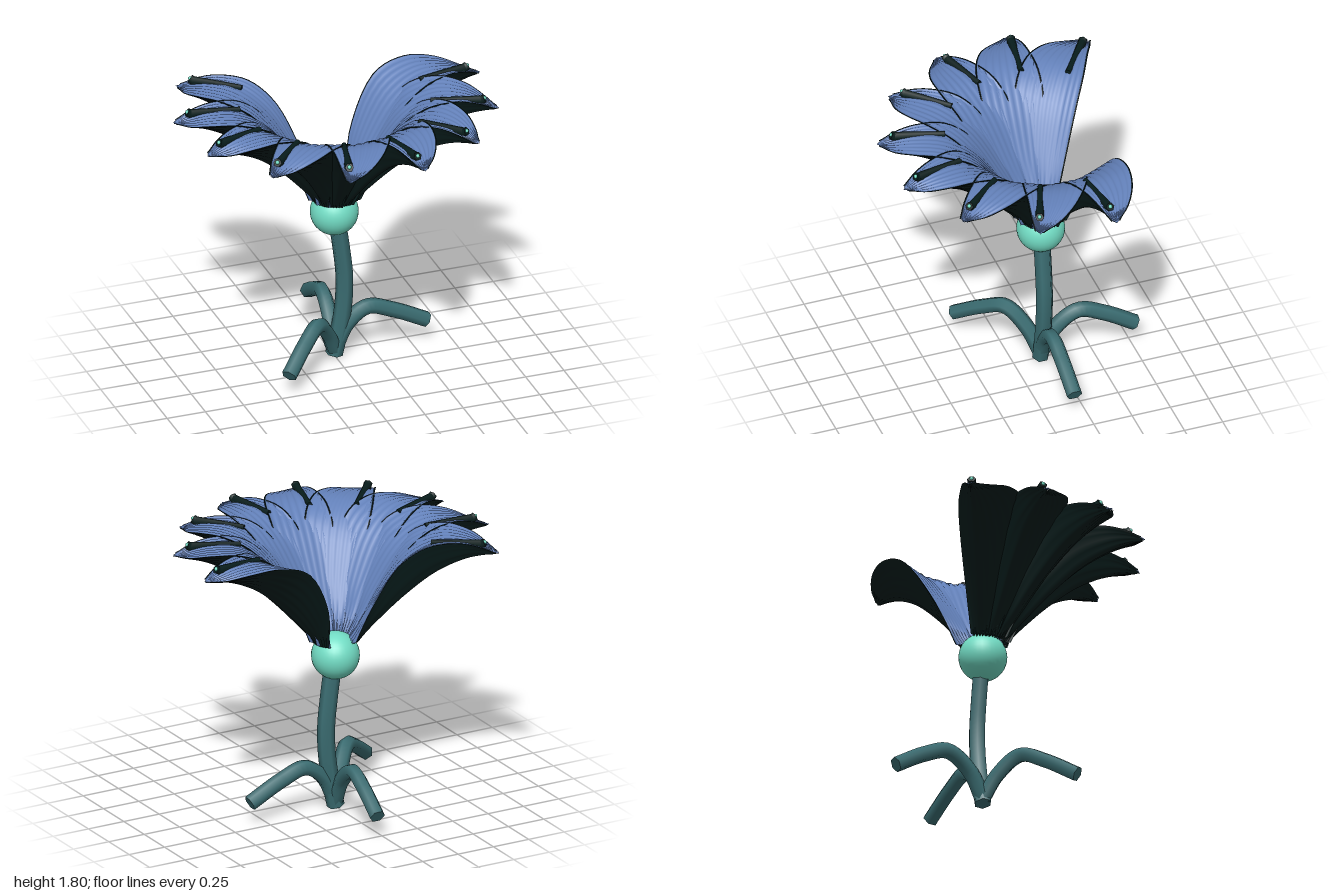
import * as THREE from 'three';

const mat = (name, color) => {
  const m = new THREE.MeshStandardMaterial({ color });
  m.name = name;
  return m;
};
const V = (p) => new THREE.Vector3(...p);
const curve = (pts) => new THREE.CatmullRomCurve3(pts.map(V));

// Petal guide lines, as [outward, height, sideways]
const KEEL = curve([[0.13, 1.09, 0], [0.26, 1.235, 0], [0.43, 1.41, 0], [0.62, 1.57, 0], [0.8, 1.665, 0], [0.92, 1.7, 0], [1.0, 1.71, 0]]);
const CREST = curve([[0.085, 1.115, 0], [0.25, 1.395, 0], [0.43, 1.645, 0], [0.61, 1.762, 0], [0.79, 1.776, 0], [0.92, 1.745, 0], [1.0, 1.714, 0]]);
const WIDE = curve([[0.12, 1.1, -0.1], [0.23, 1.43, -0.215], [0.43, 1.72, -0.28], [0.63, 1.79, -0.27], [0.8, 1.775, -0.21], [0.92, 1.735, -0.115], [0.985, 1.715, -0.02]]);
const NARROW = curve([[0.12, 1.1, 0.055], [0.25, 1.375, 0.08], [0.41, 1.64, 0.1], [0.58, 1.765, 0.098], [0.76, 1.79, 0.07], [0.9, 1.76, 0.045], [0.98, 1.72, 0.02]]);

// One skin of a thick ribbed petal: the outer follows the keel and folds over
// the edge as a thin rim, the inner follows the crest
function petalSkin(middle, power, outer) {
  const rows = 28, wideCols = 24, narrowCols = 12;
  const columns = [];
  for (let j = 0; j <= wideCols + narrowCols; j++) {
    const isWide = j < wideCols;
    const t = isWide ? 1 - j / wideCols : (j - wideCols) / narrowCols;
    columns.push({ isWide, t, rib: Math.cos(j * Math.PI / 2), rim: outer && t === 1 ? 0.009 : 0 });
  }
  if (outer) {
    columns.unshift({ ...columns[0], rim: 0 });
    columns.push({ ...columns[columns.length - 1], rim: 0 });
  }
  const pos = [], idx = [], s = columns.length;
  for (let i = 0; i <= rows; i++) {
    const u = i / rows;
    const k = middle.getPoint(u), w = WIDE.getPoint(u), n = NARROW.getPoint(u);
    for (const { isWide, t, rib, rim } of columns) {
      const e = isWide ? w : n;
      pos.push(
        k.x + (e.x - k.x) * t + rib * 0.012 * Math.pow(Math.abs(2 * u - 1), 8),
        Math.min(1.8, k.y + (e.y - k.y) * Math.pow(t, power) + rib * 0.0035),
        e.z * t + (isWide ? -rim : rim)
      );
    }
  }
  for (let i = 0; i < rows; i++) {
    for (let j = 0; j < s - 1; j++) {
      const a = i * s + j, b = a + 1, c = a + s, d = c + 1;
      if (outer) idx.push(a, c, b, b, c, d);
      else idx.push(a, b, c, b, d, c);
    }
  }
  const g = new THREE.BufferGeometry();
  g.setAttribute('position', new THREE.Float32BufferAttribute(pos, 3));
  g.setIndex(idx);
  g.computeVertexNormals();
  return g;
}

export function createModel() {
  const root = new THREE.Group();
  root.name = 'flower';
  const stemMat = mat('stemTeal', 0x3b6d72);
  const budMat = mat('mint', 0x72dcc4);
  const innerMat = mat('petalBlue', 0x6381ba);
  const outerMat = mat('petalDark', 0x081d1c);

  const add = (parent, name, geo, material) => {
    const m = new THREE.Mesh(geo, material);
    m.name = name;
    parent.add(m);
    return m;
  };

  // Everything grows from an axis set back from the middle
  const plant = new THREE.Group();
  plant.name = 'plant';
  plant.position.z = -0.178;
  root.add(plant);

  // Six-sided stalks with closed ends
  const stalk = (name, pts, radius) => {
    const g = new THREE.Group();
    g.name = name;
    plant.add(g);
    const path = curve(pts), steps = 28;
    const frames = path.computeFrenetFrames(steps);
    add(g, name + 'Tube', new THREE.TubeGeometry(path, steps, radius, 6), stemMat);
    for (const end of [0, 1]) {
      const i = end * steps, sign = end ? 1 : -1;
      const basis = new THREE.Matrix4().makeBasis(
        frames.normals[i],
        frames.binormals[i].clone().multiplyScalar(sign),
        frames.tangents[i].clone().multiplyScalar(sign)
      );
      const cap = add(g, name + 'Cap', new THREE.CircleGeometry(radius, 6), stemMat);
      cap.position.copy(path.getPoint(end));
      cap.quaternion.setFromRotationMatrix(basis);
    }
  };
  stalk('stem', [[-0.002, 0.012, 0], [0.035, 0.18, 0], [0.062, 0.38, 0], [0.065, 0.55, 0], [0.045, 0.74, 0], [0.015, 0.95, 0]], 0.055);
  stalk('frontRoot', [[0, 0.04, 0], [-0.07, 0.2, 0.065], [-0.17, 0.315, 0.165], [-0.29, 0.257, 0.27], [-0.445, 0.137, 0.405]], 0.049);
  stalk('sideRoot', [[0, 0.04, 0], [0.085, 0.21, 0], [0.215, 0.3, 0], [0.38, 0.25, 0], [0.605, 0.14, 0]], 0.049);
  stalk('backRoot', [[0, 0.04, 0], [0.005, 0.21, -0.09], [0.015, 0.314, -0.24], [0.03, 0.262, -0.4], [0.048, 0.147, -0.6]], 0.049);

  // Bud
  add(plant, 'bud', new THREE.SphereGeometry(0.15, 32, 20), budMat).position.y = 1.0;

  // Fan of nine petals, each with a dark stamen lying along it and a raised, dotted tip
  const innerGeo = petalSkin(CREST, 1.2, false), outerGeo = petalSkin(KEEL, 1.5, true);
  const rodGeo = new THREE.CylinderGeometry(0.027, 0.018, 0.31, 6);
  const tipGeo = new THREE.CylinderGeometry(0.027, 0.027, 0.06, 6);
  const dotGeo = new THREE.SphereGeometry(0.013, 8, 6);
  for (let i = 0; i < 9; i++) {
    const petal = new THREE.Group();
    petal.name = 'petal' + (i + 1);
    petal.rotation.y = -THREE.MathUtils.degToRad(-7.5 + 28 * i);
    plant.add(petal);
    add(petal, 'petalInside', innerGeo, innerMat);
    add(petal, 'petalOutside', outerGeo, outerMat);
    const rod = add(petal, 'stamen', rodGeo, outerMat);
    rod.position.set(0.745, 1.767, 0);
    rod.rotation.z = -Math.PI / 2 + 0.02;
    const tip = add(petal, 'stamenTip', tipGeo, outerMat);
    tip.position.set(0.895, 1.766, 0);
    tip.rotation.z = -Math.PI / 2 + 0.5;
    add(petal, 'stamenDot', dotGeo, budMat).position.set(0.92, 1.782, 0);
  }
  return root;
}
